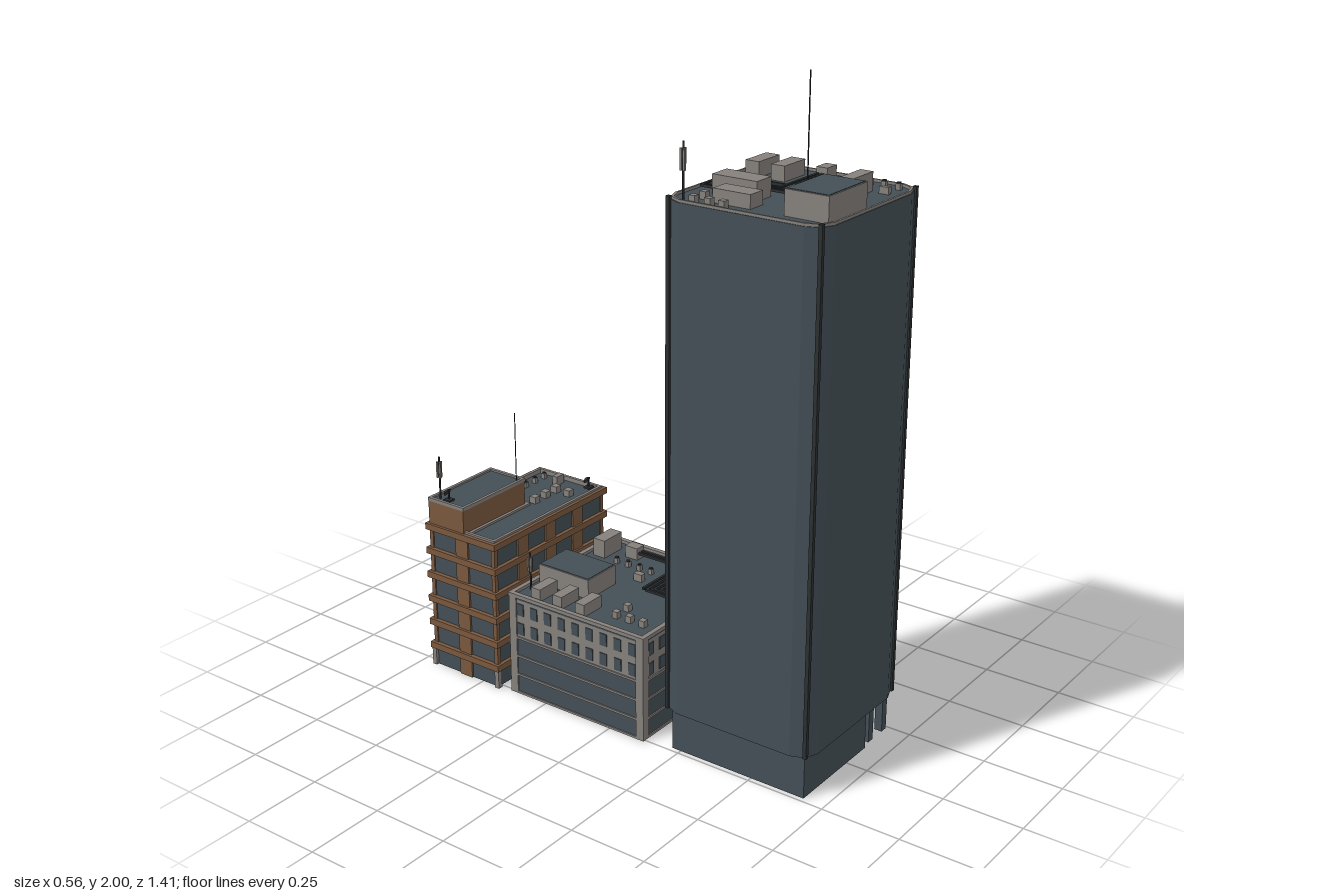
import * as THREE from 'three';
import { mergeGeometries } from 'three/addons/utils/BufferGeometryUtils.js';

const mat = (name, color) => new THREE.MeshStandardMaterial({ name, color, side: THREE.DoubleSide });
const M = {
  slate: mat('slate glass', 0x434f56),
  grey: mat('warm grey concrete', 0x85807c),
  brown: mat('brown brick', 0x7a583e),
  dark: mat('dark metal', 0x2b2f31),
};

// Box from its limits
const box = (x0, x1, y0, y1, z0, z1) =>
  new THREE.BoxGeometry(x1 - x0, y1 - y0, z1 - z0).translate((x0 + x1) / 2, (y0 + y1) / 2, (z0 + z1) / 2);
// Box from its centre in plan, standing on y
const block = (x, z, w, d, y, h) => box(x - w / 2, x + w / 2, y, y + h, z - d / 2, z + d / 2);

// Four walls, open at top and bottom
function walls(x0, x1, y0, y1, z0, z1) {
  const g = new THREE.CylinderGeometry(Math.SQRT1_2, Math.SQRT1_2, 1, 4, 1, true).rotateY(Math.PI / 4).toNonIndexed();
  g.scale(x1 - x0, y1 - y0, z1 - z0).translate((x0 + x1) / 2, (y0 + y1) / 2, (z0 + z1) / 2);
  g.computeVertexNormals();
  return g;
}

// Rectangular ring with bars of thickness t inside the limits
const ring = (x0, x1, y0, y1, z0, z1, t) => [
  box(x0, x1, y0, y1, z0, z0 + t), box(x0, x1, y0, y1, z1 - t, z1),
  box(x0, x0 + t, y0, y1, z0 + t, z1 - t), box(x1 - t, x1, y0, y1, z0 + t, z1 - t)];

function add(group, name, material, geos) {
  const list = [geos].flat().map(g => (g.index ? g.toNonIndexed() : g));
  const mesh = new THREE.Mesh(mergeGeometries(list), material);
  mesh.name = name;
  group.add(mesh);
}

// Square ducts following plan points [x, z]
function pipes(paths, y, r = 0.004) {
  const out = [];
  for (const p of paths) for (let i = 1; i < p.length; i++) {
    const [a, b] = [p[i - 1], p[i]];
    out.push(box(Math.min(a[0], b[0]) - r, Math.max(a[0], b[0]) + r, y, y + 2 * r,
      Math.min(a[1], b[1]) - r, Math.max(a[1], b[1]) + r));
  }
  return out;
}

const rod = (x, z, y0, y1, r) => new THREE.CylinderGeometry(r, r, y1 - y0, 8).translate(x, (y0 + y1) / 2, z);

// Mast with a thicker cluster of aerials near the top
function aerial(group, x, z, y0, y1) {
  const h = y1 - y0;
  add(group, 'aerialMast', M.dark, rod(x, z, y0, y1, 0.003));
  add(group, 'aerialPanels', M.grey, [0, 1, 2].map(i => {
    const a = i * Math.PI * 2 / 3;
    return block(x + 0.006 * Math.cos(a), z + 0.006 * Math.sin(a), 0.006, 0.006, y0 + h * 0.5, h * 0.38);
  }));
}

function dish(group, x, z, y) {
  const bowl = new THREE.SphereGeometry(0.016, 12, 4, 0, Math.PI * 2, 0, 1.1).rotateX(-1).translate(x, y + 0.022, z);
  add(group, 'satelliteDish', M.dark, [bowl, rod(x, z, y, y + 0.03, 0.003), block(x, z, 0.024, 0.024, y, 0.006)]);
}

// Plant room with a slate lid
function plantRoom(group, x0, x1, y0, y1, z0, z1) {
  add(group, 'plantRoom', M.grey, box(x0, x1, y0, y1, z0, z1));
  add(group, 'plantRoomRoof', M.slate, box(x0 + 0.004, x1 - 0.004, y1, y1 + 0.002, z0 + 0.004, z1 - 0.004));
}

// Rows of little fans on a rail
function fans(group, x, z, dx, dz, y) {
  add(group, 'roofFans', M.grey, [0, 1, 2, 3].map(i => block(x + dx * i, z + dz * i, 0.014, 0.014, y, 0.018)));
  add(group, 'roofFanCaps', M.dark, [0, 1, 2, 3].map(i => rod(x + dx * i, z + dz * i, y + 0.018, y + 0.022, 0.006)));
}

function tower() {
  const g = new THREE.Group();
  g.name = 'tower';
  const cz = 0.445;
  // Plan outline with softened corners
  const outline = (s) => {
    const pts = [];
    const corner = [[0.255, 0.195], [0.24, 0.235], [0.2, 0.255]];
    for (let q = 0; q < 4; q++) for (const [a, b] of corner) {
      const c = Math.round(Math.cos(q * Math.PI / 2)), n = Math.round(Math.sin(q * Math.PI / 2));
      pts.push(new THREE.Vector2((a * c - b * n) * s, (a * n + b * c) * s));
    }
    return pts;
  };
  const prism = (y0, y1, s, hole) => {
    const shape = new THREE.Shape(outline(s));
    if (hole) shape.holes.push(new THREE.Path(outline(hole)));
    return new THREE.ExtrudeGeometry(shape, { depth: y1 - y0, bevelEnabled: false })
      .rotateX(-Math.PI / 2).translate(0, y0, cz);
  };
  add(g, 'towerBody', M.slate, prism(0.135, 1.68, 1));
  add(g, 'towerParapet', M.grey, prism(1.68, 1.688, 0.99, 0.965));
  add(g, 'cornerFins', M.dark, [-1, 1].flatMap(i => [-1, 1].map(k =>
    block(i * 0.24, cz + k * 0.24, 0.012, 0.012, 0.135, 1.555))));
  // Recessed lobby and open colonnade
  add(g, 'lobby', M.slate, walls(-0.235, 0.105, 0, 0.135, 0.22, 0.68));
  add(g, 'columns', M.slate, [0.15, 0.228].flatMap(x => [0.235, 0.385, 0.525, 0.66].map(z =>
    block(x, z, 0.025, 0.025, 0, 0.137))));
  // Roof equipment
  const y = 1.68;
  plantRoom(g, -0.2, -0.01, y, 1.753, 0.545, 0.68);
  add(g, 'roofUnits', M.grey, [
    box(0.095, 0.2, y, 1.725, 0.225, 0.27), box(0.095, 0.2, y, 1.725, 0.31, 0.355),
    box(-0.125, -0.055, y, 1.735, 0.265, 0.41), box(-0.2, -0.14, y, 1.72, 0.32, 0.44),
    box(0.18, 0.23, y, 1.715, 0.405, 0.44), box(-0.035, 0.01, y, 1.705, 0.44, 0.47),
    box(0.045, 0.155, y, 1.735, 0.56, 0.6), box(0.145, 0.16, y, 1.7, 0.625, 0.655),
    ...[[-0.23, 0.28], [-0.23, 0.33], [-0.23, 0.375], [-0.18, 0.28]].map(([a, b]) => block(a, b, 0.02, 0.02, y, 0.022))]);
  add(g, 'roofDucts', M.dark, pipes([
    [[-0.11, 0.27], [-0.11, 0.222], [-0.01, 0.222], [-0.01, 0.41], [0.18, 0.41]],
    [[-0.095, 0.27], [-0.095, 0.235], [-0.025, 0.235], [-0.025, 0.425], [0.18, 0.425]],
    [[-0.08, 0.27], [-0.08, 0.25], [-0.04, 0.25], [-0.04, 0.45]],
    [[0.022, 0.23], [0.022, 0.4]], [[-0.04, 0.3], [0.02, 0.3]]], 1.69));
  fans(g, 0.21, 0.515, 0, 0.045, y);
  add(g, 'mainMast', M.dark, rod(0.095, 0.43, y, 2, 0.002));
  aerial(g, -0.222, 0.24, y, 1.84);
  return g;
}

function officeBlock() {
  const g = new THREE.Group();
  g.name = 'officeBlock';
  const X = 0.255, z0 = -0.385, z1 = 0.125, cz = -0.13;
  add(g, 'lowerGlazing', M.slate, walls(-X, X, 0, 0.195, z0, z1));
  add(g, 'upperWalls', M.grey, walls(-X, X, 0.195, 0.34, z0, z1));
  add(g, 'roofDeck', M.slate, box(-X, X, 0.325, 0.335, z0, z1));
  add(g, 'cornerPiers', M.grey, [-1, 1].flatMap(i => [-1, 1].map(k =>
    block(i * 0.245, cz + k * 0.245, 0.028, 0.028, 0, 0.335))));
  add(g, 'floorLines', M.grey, [0, 0.063, 0.128, 0.192].flatMap(y =>
    ring(-0.259, 0.259, y, y + 0.007, -0.389, 0.129, 0.008)));
  add(g, 'parapet', M.grey, ring(-0.261, 0.261, 0.333, 0.345, -0.391, 0.131, 0.016));
  // Two rows of small windows on every side
  const windows = [];
  for (const y of [0.208, 0.274]) for (let i = 0; i < 9; i++) {
    const t = (i - 4) * 0.054;
    for (const s of [-1, 1]) {
      windows.push(block(t, cz + s * 0.255, 0.026, 0.006, y, 0.04), block(s * 0.255, cz + t, 0.006, 0.026, y, 0.04));
    }
  }
  add(g, 'windows', M.slate, windows);
  // Roof equipment
  const y = 0.335;
  plantRoom(g, -0.14, -0.004, y, 0.4, -0.365, -0.17);
  add(g, 'roofUnits', M.grey, [
    ...[-0.297, -0.212, -0.125].map(z => block(-0.197, z, 0.085, 0.035, y, 0.04)),
    box(0.12, 0.21, y, 0.395, -0.355, -0.31), box(0.17, 0.207, y, 0.375, -0.265, -0.217),
    box(0.05, 0.07, y, 0.36, -0.14, -0.11), box(0.2, 0.23, y, 0.36, -0.045, -0.005),
    box(0.025, 0.175, y, 0.358, 0.02, 0.088),
    ...[[-0.18, -0.03], [-0.125, -0.03], [-0.18, 0.02], [-0.18, 0.07]].map(([a, b]) => block(a, b, 0.02, 0.02, y, 0.022))]);
  add(g, 'roofDucts', M.dark, pipes([
    [[0.18, -0.22], [0.18, -0.005], [0.01, -0.005], [0.01, 0.06], [0.03, 0.06]],
    [[0.195, -0.22], [0.195, 0.01], [0.025, 0.01], [0.025, 0.03]],
    [[0.16, -0.04], [-0.015, -0.04], [-0.015, 0.08], [0.03, 0.08]],
    [[0.16, -0.055], [-0.01, -0.055]], [[0.14, -0.022], [0, -0.022], [0, 0.07], [0.03, 0.07]]], 0.352));
  fans(g, 0.118, -0.258, 0, 0.045, y);
  add(g, 'thinMast', M.dark, rod(0.23, 0.105, y, 0.475, 0.0015));
  aerial(g, -0.19, -0.357, y, 0.46);
  return g;
}

function brickBlock() {
  const g = new THREE.Group();
  g.name = 'brickBlock';
  const X = 0.266, z0 = -0.697, z1 = -0.437, cz = -0.567;
  add(g, 'glazing', M.slate, walls(-X, X, 0, 0.49, z0, z1));
  add(g, 'roofDeck', M.slate, box(-X, X, 0.48, 0.49, z0, z1));
  add(g, 'floorBands', M.brown, [0, 1, 2, 3, 4, 5].flatMap(i =>
    ring(-0.28, 0.28, 0.06 + i * 0.0835, 0.081 + i * 0.0835, -0.71, -0.424, 0.018)));
  // Brick piers at the corners and between the windows
  const piers = [];
  for (const s of [-1, 1]) {
    for (const x of [-0.135, 0, 0.135]) piers.push(block(x, cz + s * 0.13, 0.05, 0.012, 0, 0.49));
    piers.push(block(s * X, cz, 0.012, 0.05, 0, 0.49));
    for (const k of [-1, 1]) piers.push(block(s * 0.263, cz + k * 0.127, 0.014, 0.014, 0.06, 0.43));
  }
  add(g, 'brickPiers', M.brown, piers);
  add(g, 'cornerPosts', M.grey, [-1, 1].flatMap(s => [-1, 1].map(k => block(s * 0.268, cz + k * 0.132, 0.016, 0.016, 0, 0.06))));
  add(g, 'parapet', M.grey, ring(-0.268, 0.268, 0.485, 0.505, -0.699, -0.435, 0.01));
  // Rooftop storey
  add(g, 'penthouse', M.brown, box(-0.271, 0.022, 0.488, 0.577, -0.7, -0.556));
  add(g, 'penthouseRoof', M.slate, box(-0.262, 0.014, 0.576, 0.58, -0.692, -0.564));
  add(g, 'penthouseParapet', M.grey, ring(-0.272, 0.024, 0.575, 0.586, -0.701, -0.554, 0.01));
  add(g, 'penthouseLedge', M.grey, [box(-0.26, 0.036, 0.488, 0.497, -0.556, -0.546), box(0.022, 0.036, 0.488, 0.497, -0.69, -0.546)]);
  // Roof equipment
  const y = 0.49;
  add(g, 'roofUnits', M.grey, [
    ...[[0.062, -0.548], [0.115, -0.548], [0.168, -0.548], [0.168, -0.495]].map(([a, b]) => block(a, b, 0.024, 0.024, y, 0.022)),
    box(0.207, 0.243, y, 0.52, -0.595, -0.575)]);
  fans(g, 0.09, -0.65, 0.047, 0, y);
  dish(g, 0.237, -0.466, y + 0.01);
  dish(g, -0.243, -0.638, 0.58);
  add(g, 'thinMast', M.dark, rod(0.005, -0.575, 0.58, 0.81, 0.0015));
  aerial(g, -0.245, -0.672, 0.58, 0.72);
  return g;
}

export function createModel() {
  const model = new THREE.Group();
  model.name = 'cityBlock';
  model.add(tower(), officeBlock(), brickBlock());
  return model;
}
